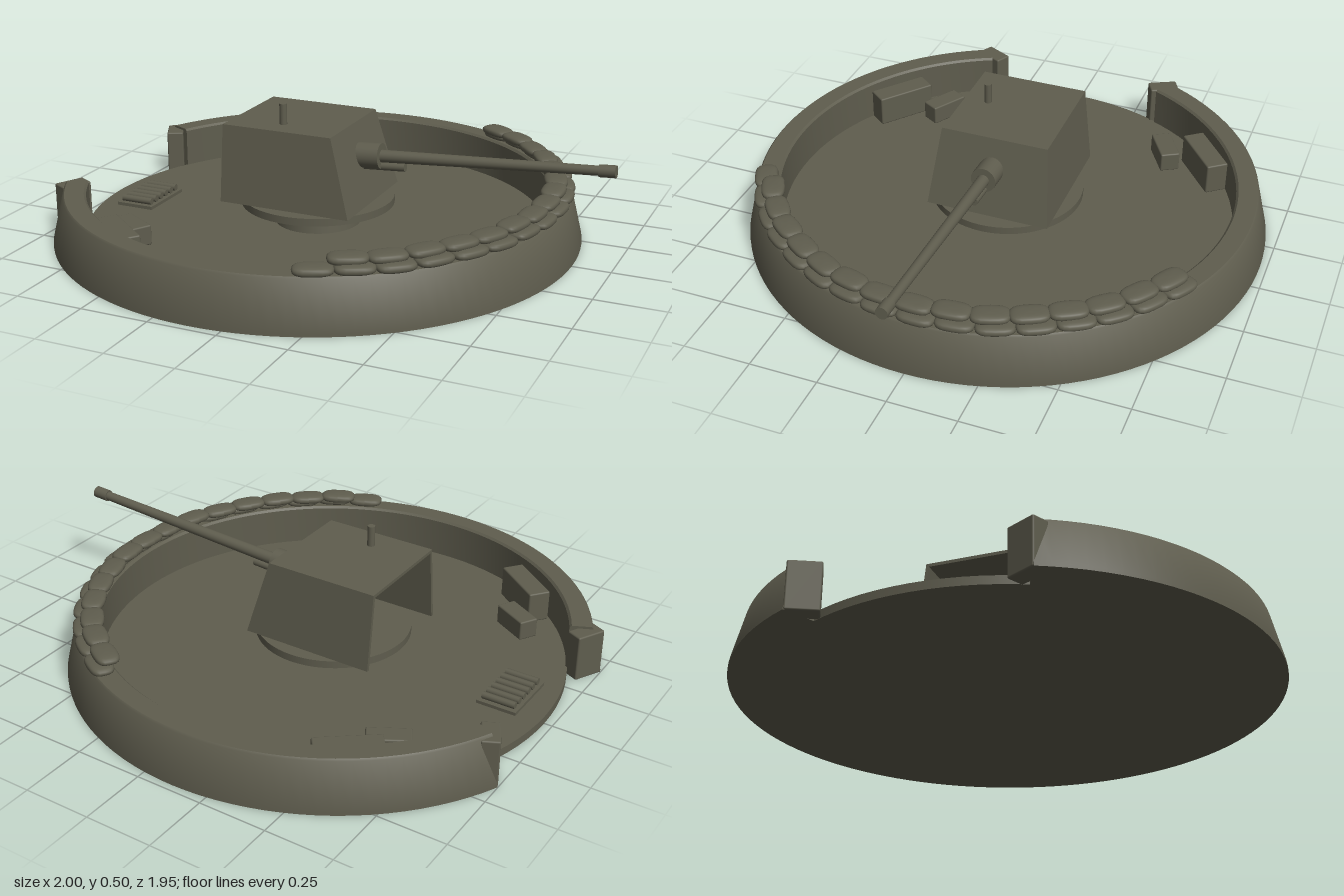
import * as THREE from 'three';
import { toCreasedNormals } from 'three/addons/utils/BufferGeometryUtils.js';
import { RoundedBoxGeometry } from 'three/addons/geometries/RoundedBoxGeometry.js';
import { ConvexGeometry } from 'three/addons/geometries/ConvexGeometry.js';

const CX = -0.115; // centre of the round emplacement
const FLOOR = 0.03;
const rad = THREE.MathUtils.degToRad;

export function createModel() {
  const model = new THREE.Group();
  model.name = 'gunEmplacement';
  const olive = new THREE.MeshStandardMaterial({ color: 0x5f5d4e, side: THREE.DoubleSide });
  olive.name = 'olive drab';

  const add = (name, geometry, x = 0, y = 0, z = 0, parent = model) => {
    const mesh = new THREE.Mesh(geometry, olive);
    mesh.name = name;
    mesh.position.set(x, y, z);
    parent.add(mesh);
    return mesh;
  };
  const cylinder = (rTop, rBottom, h, n = 24) => new THREE.CylinderGeometry(rTop, rBottom, h, n);

  // Floor slab
  add('floor', cylinder(0.855, 0.855, FLOOR, 96), CX, FLOOR / 2, 0);

  // Sloped ring wall, open at the rear (-x)
  const profile = [[0.975, 0], [0.975, 0.01], [0.934, 0.178], [0.928, 0.184],
    [0.858, 0.184], [0.85, 0.176], [0.85, 0], [0.975, 0]].map(([r, y]) => new THREE.Vector2(r, y));
  const start = rad(295), sweep = rad(310);
  add('ringWall', toCreasedNormals(new THREE.LatheGeometry(profile, 96, start, sweep), 0.6), CX);
  for (const phi of [start, start + sweep]) {
    const cap = add('wallEnd', new THREE.ShapeGeometry(new THREE.Shape(profile.slice(0, -1))), CX);
    cap.rotation.y = phi - Math.PI / 2;
  }

  // Entrance posts and stored crates, mirrored front to back
  for (const s of [-1, 1]) {
    const block = (name, w, h, d, x, y, z, angle) => {
      const mesh = add(name, new RoundedBoxGeometry(w, h, d, 2, 0.006), x, y + h / 2, s * z);
      mesh.rotation.y = -s * rad(angle);
    };
    block('entrancePost', 0.065, 0.175, 0.115, -0.945, 0, 0.374, 27);
    block('largeCrate', 0.235, 0.12, 0.085, -0.58, FLOOR, 0.645, 38);
    block('smallCrate', 0.155, 0.075, 0.075, -0.63, FLOOR, 0.475, 30);
  }

  // Tray of shells by the entrance
  add('shellTray', new THREE.BoxGeometry(0.15, 0.012, 0.23), -0.81, FLOOR + 0.006, 0.06);
  for (let i = 0; i < 6; i++) {
    const shell = add('shell', cylinder(0.013, 0.013, 0.125, 12), -0.81, FLOOR + 0.024, -0.03 + i * 0.036);
    shell.rotation.z = Math.PI / 2;
  }

  // Sandbags: a squashed sphere pushed towards a pillow shape
  const bagShape = new THREE.SphereGeometry(1, 20, 12);
  const p = bagShape.attributes.position;
  const swell = (v, k) => Math.sign(v) * Math.pow(Math.abs(v), k);
  for (let i = 0; i < p.count; i++) {
    p.setXYZ(i, 0.043 * swell(p.getX(i), 0.65), 0.017 * swell(p.getY(i), 0.75), 0.068 * swell(p.getZ(i), 0.65));
  }
  bagShape.computeVertexNormals();
  const bagRow = (name, count, first, radius, y) => {
    for (let i = 0; i < count; i++) {
      const a = rad(first + i * 8.4);
      const bag = add(name, bagShape, CX + radius * Math.cos(a), y + 0.002 * Math.sin(i * 2.3), radius * Math.sin(a));
      bag.rotation.y = -a + 0.07 * Math.sin(i * 1.7);
    }
  };
  bagRow('lowerSandbag', 16, -60, 0.9, 0.197);
  bagRow('upperSandbag', 15, -58.8, 0.872, 0.221);

  // Pedestal and turntable
  add('pedestal', cylinder(0.15, 0.16, 0.09, 48), CX, FLOOR + 0.04, 0);
  add('turntable', cylinder(0.285, 0.285, 0.028, 64), CX, 0.12, 0);

  // Gun shield of thin plates, open at the rear
  const shield = new THREE.Group();
  shield.name = 'gunShield';
  model.add(shield);
  const yb = 0.134, yt = 0.42, t = 0.012;
  const rearX = -0.4, topX = 0.028, bottomX = 0.108, topZ = 0.203, bottomZ = 0.234;
  const plate = (name, corners, offset) => {
    const outer = corners.map((c) => new THREE.Vector3(...c));
    const inner = outer.map((v) => v.clone().add(new THREE.Vector3(...offset)));
    add(name, new ConvexGeometry([...outer, ...inner]), 0, 0, 0, shield);
  };
  for (const s of [-1, 1]) {
    plate('sidePlate', [[rearX, yb, s * bottomZ], [bottomX, yb, s * bottomZ],
      [topX, yt, s * topZ], [rearX, yt, s * topZ]], [0, 0, -s * t]);
  }
  plate('frontPlate', [[bottomX, yb, bottomZ], [bottomX, yb, -bottomZ],
    [topX, yt, -topZ], [topX, yt, topZ]], [-t, 0, 0]);
  plate('roofPlate', [[rearX, yt, topZ], [rearX, yt, -topZ],
    [topX, yt, -topZ], [topX, yt, topZ]], [0, -t, 0]);
  add('periscope', cylinder(0.014, 0.014, 0.085, 12), -0.2, 0.455, 0.112, shield);

  // Gun, slightly raised, pointing along +x from its pivot
  const gun = new THREE.Group();
  gun.name = 'gun';
  gun.position.set(0.05, 0.304, 0);
  gun.rotation.z = rad(3.8);
  model.add(gun);
  const tube = (name, r0, r1, x0, x1, y = 0) => {
    const mesh = add(name, cylinder(r1, r0, x1 - x0), (x0 + x1) / 2, y, 0, gun);
    mesh.rotation.z = -Math.PI / 2;
  };
  tube('mantlet', 0.047, 0.047, -0.03, 0.09);
  tube('barrel', 0.023, 0.017, 0.08, 0.93);
  tube('muzzle', 0.022, 0.022, 0.89, 0.949);
  tube('recoilCylinder', 0.016, 0.016, 0, 0.18, -0.037);
  add('breech', new THREE.BoxGeometry(0.2, 0.08, 0.075), -0.11, 0, 0, gun);
  add('gunMount', new THREE.BoxGeometry(0.1, 0.16, 0.12), -0.04, 0.2, 0);

  return model;
}
